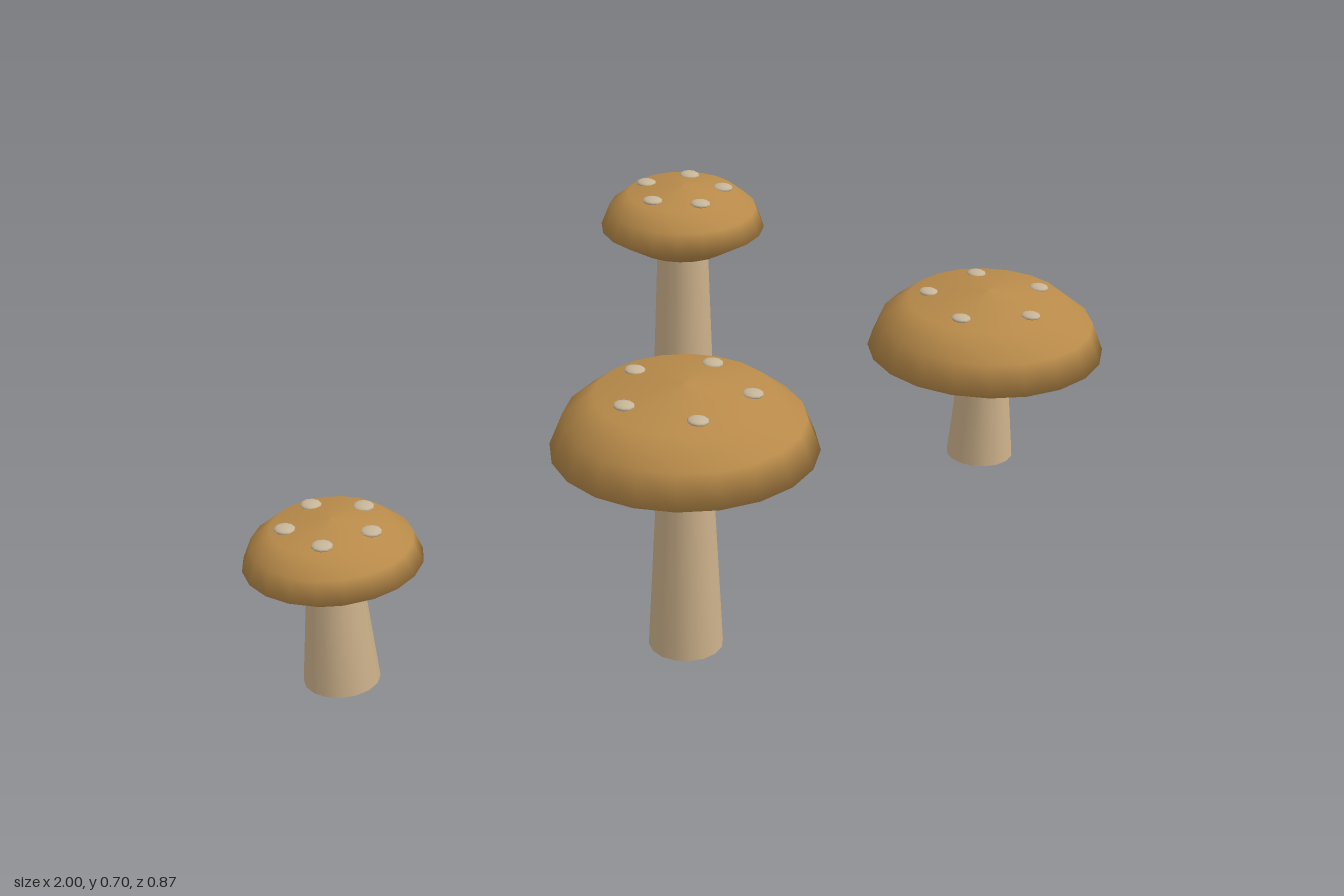
import * as THREE from 'three';

const capMat = new THREE.MeshStandardMaterial({ color: 0xb98b4a });
capMat.name = 'cap brown';
const stemMat = new THREE.MeshStandardMaterial({ color: 0xcbb08a });
stemMat.name = 'stem beige';
const spotMat = new THREE.MeshStandardMaterial({ color: 0xc6b598 });
spotMat.name = 'spot cream';

function addMesh(parent, name, geometry, material) {
  const mesh = new THREE.Mesh(geometry, material);
  mesh.name = name;
  parent.add(mesh);
  return mesh;
}

// One mushroom: stem height h, cap radius r, spot ring turned by turn radians
function mushroom(h, r, turn) {
  const group = new THREE.Group();
  const rim = h + 0.043;

  // Tapered stem, ending just inside the cap
  const stemTop = h + 0.01;
  const stem = addMesh(group, 'stem', new THREE.CylinderGeometry(0.053, 0.074, stemTop, 16), stemMat);
  stem.position.y = stemTop / 2;

  // Wide cap with a shallow underside
  const profile = [
    [0, h], [0.585 * r, h], [r, rim], [0.9 * r, rim + 0.25 * r],
    [0.67 * r, rim + 0.435 * r], [0, rim + 0.525 * r],
  ].map(([x, y]) => new THREE.Vector2(x, y));
  addMesh(group, 'cap', new THREE.LatheGeometry(profile, 20), capMat);

  // Ring of five flattened spots
  for (let i = 0; i < 5; i++) {
    const a = turn + (i * Math.PI * 2) / 5;
    const spot = addMesh(group, 'spot', new THREE.SphereGeometry(1, 10, 8), spotMat);
    spot.scale.set(0.02, 0.007, 0.022);
    spot.position.set(Math.cos(a) * r * 0.5, rim + 0.463 * r, Math.sin(a) * r * 0.5);
  }
  return group;
}

export function createModel() {
  const model = new THREE.Group();
  model.name = 'mushroomCluster';
  // x, z, stem height, cap radius
  const layout = [
    [-0.828, -0.262, 0.22, 0.172],
    [-0.307, 0.174, 0.394, 0.26],
    [0.215, -0.262, 0.568, 0.172],
    [0.738, 0.174, 0.22, 0.26],
  ];
  layout.forEach(([x, z, h, r], i) => {
    const m = mushroom(h, r, i);
    m.name = `mushroom${i + 1}`;
    m.position.set(x, 0, z);
    model.add(m);
  });
  return model;
}
